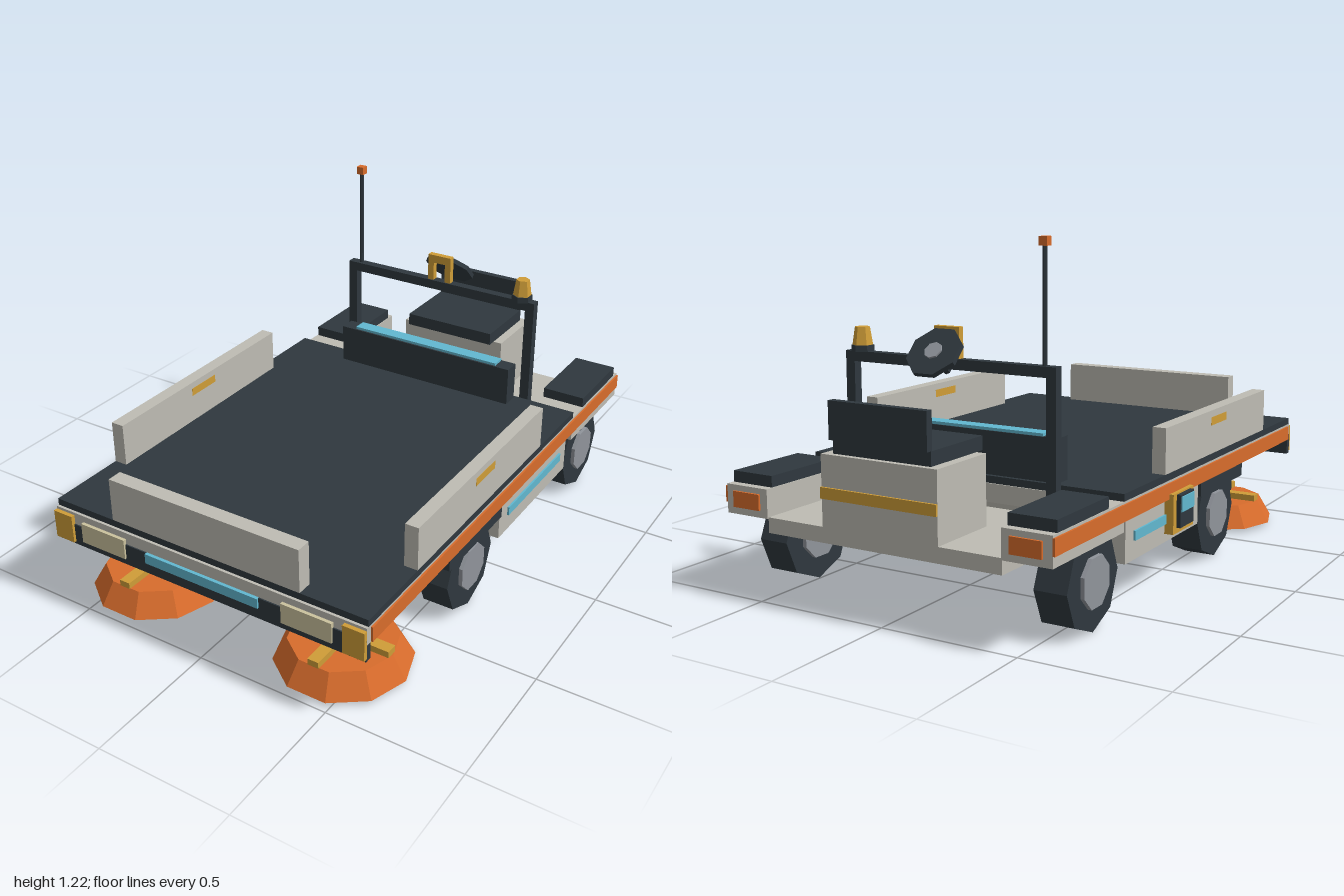
import * as THREE from 'three';

const mat = (name, color) => {
  const m = new THREE.MeshStandardMaterial({ color });
  m.name = name;
  return m;
};

export function createModel() {
  const dark = mat('charcoal', 0x2f383e);
  const beige = mat('warmGrey', 0xbebcb3);
  const orange = mat('orange', 0xd86c2c);
  const yellow = mat('amber', 0xcf9d38);
  const blue = mat('lightBlue', 0x62b8d0);
  const tan = mat('lampCream', 0xcbc29e);
  const steel = mat('hubGrey', 0x90949b);

  const root = new THREE.Group();
  root.name = 'utilitySweeper';
  const CX = 0.015; // centre line of the chassis

  const add = (name, geo, material, parent = root) => {
    const m = new THREE.Mesh(geo, material);
    m.name = name;
    parent.add(m);
    return m;
  };
  // box from its limits on each axis
  const box = (name, material, x0, x1, y0, y1, z0, z1, parent = root) => {
    const m = add(name, new THREE.BoxGeometry(x1 - x0, y1 - y0, z1 - z0), material, parent);
    m.position.set((x0 + x1) / 2, (y0 + y1) / 2, (z0 + z1) / 2);
    return m;
  };
  // pair of boxes mirrored about the chassis centre line
  const pair = (name, material, a, b, ...rest) => {
    box(name + 'Left', material, CX + a, CX + b, ...rest);
    box(name + 'Right', material, CX - b, CX - a, ...rest);
  };
  // faceted cylinder
  const facet = (rTop, rBottom, h, sides) => new THREE.CylinderGeometry(rTop, rBottom, h, sides).toNonIndexed();
  const cyl = (name, material, rTop, rBottom, h, sides, x, y, z, parent = root) => {
    const g = facet(rTop, rBottom, h, sides);
    g.computeVertexNormals();
    const m = add(name, g, material, parent);
    m.position.set(x, y, z);
    return m;
  };

  // chassis and cargo deck
  box('chassisFrame', beige, CX - 0.63, CX + 0.63, 0.32, 0.385, -0.545, 0.985);
  box('cargoDeck', dark, CX - 0.63, CX + 0.63, 0.385, 0.41, -0.54, 0.975);
  pair('sideStripe', orange, 0.629, 0.637, 0.322, 0.377, -0.99, 0.962);

  // underbody with sloping ends
  const profile = new THREE.Shape([[0.44, 0.325], [0.44, 0.26], [0.385, 0.135], [-0.4, 0.135], [-0.47, 0.325]]
    .map(([z, y]) => new THREE.Vector2(-z, y)));
  const hull = add('underbody', new THREE.ExtrudeGeometry(profile, { depth: 0.91, bevelEnabled: false }), beige);
  hull.rotation.y = Math.PI / 2;
  hull.position.x = CX - 0.455;
  pair('sidePanel', beige, 0.44, 0.62, 0.17, 0.32, -0.51, 0.065);
  pair('sideLightStrip', blue, 0.619, 0.627, 0.235, 0.268, -0.45, 0);

  // low rear floor, rear fenders and front wheel covers
  box('rearFloor', beige, CX - 0.455, CX + 0.455, 0.237, 0.29, -0.985, -0.5);
  pair('rearFender', beige, 0.455, 0.63, 0.285, 0.385, -0.99, -0.54);
  pair('fenderPad', dark, 0.459, 0.627, 0.385, 0.424, -0.96, -0.64);
  pair('tailLamp', orange, 0.485, 0.597, 0.31, 0.365, -0.998, -0.989);
  pair('frontWheelCover', dark, 0.46, 0.63, 0.27, 0.325, 0.07, 0.46);

  // bumper and front lights
  box('bumper', dark, CX - 0.63, CX + 0.63, 0.26, 0.34, 0.965, 0.99);
  pair('headlight', tan, 0.32, 0.51, 0.285, 0.36, 0.985, 0.997);
  pair('cornerLamp', yellow, 0.55, 0.63, 0.27, 0.375, 0.985, 1.0);
  box('frontLightStrip', blue, CX - 0.23, CX + 0.23, 0.303, 0.34, 0.985, 0.997);

  // cargo boards
  box('frontBoard', beige, CX - 0.38, CX + 0.38, 0.41, 0.57, 0.92, 0.975);
  pair('sideBoard', beige, 0.58, 0.63, 0.41, 0.57, -0.235, 0.68);
  pair('boardMark', yellow, 0.579, 0.631, 0.515, 0.545, 0.15, 0.29);

  // bulkhead behind the deck
  box('bulkhead', dark, CX - 0.38, CX + 0.38, 0.385, 0.56, -0.525, -0.46);
  box('bulkheadLight', blue, CX - 0.32, CX + 0.32, 0.56, 0.57, -0.52, -0.467);

  // roll bar
  pair('rollBarPost', dark, 0.383, 0.42, 0.285, 0.805, -0.608, -0.573);
  box('rollBarTop', dark, CX - 0.42, CX + 0.42, 0.77, 0.806, -0.608, -0.573);

  // beacon and antenna
  cyl('beaconBase', dark, 0.04, 0.04, 0.022, 6, 0.375, 0.816, -0.59);
  cyl('beaconLamp', yellow, 0.026, 0.036, 0.064, 6, 0.375, 0.858, -0.59);
  cyl('antennaRod', dark, 0.008, 0.008, 0.39, 6, -0.355, 0.995, -0.59);
  box('antennaTip', orange, -0.37, -0.34, 1.185, 1.215, -0.605, -0.575);

  // steering wheel, tilted towards the seat, in an amber bracket
  const steering = new THREE.Group();
  steering.name = 'steering';
  steering.position.set(CX, 0.832, -0.67);
  steering.rotation.x = -0.8;
  root.add(steering);
  cyl('steeringWheel', dark, 0.1, 0.1, 0.018, 8, 0, 0, 0, steering).rotation.y = Math.PI / 8;
  cyl('steeringHub', steel, 0.032, 0.032, 0.008, 8, 0, 0.012, 0, steering);
  cyl('steeringColumn', dark, 0.014, 0.014, 0.1, 6, 0, -0.05, 0, steering);
  pair('bracketLeg', yellow, 0.025, 0.05, 0.805, 0.88, -0.603, -0.578);
  box('bracketTop', yellow, CX - 0.05, CX + 0.05, 0.88, 0.912, -0.603, -0.578);

  // driver seat
  box('seatBase', beige, CX - 0.225, CX + 0.225, 0.28, 0.53, -0.985, -0.715);
  box('seatBaseStripe', yellow, CX - 0.225, CX + 0.225, 0.385, 0.423, -0.993, -0.984);
  box('seatCushion', dark, CX - 0.19, CX + 0.19, 0.53, 0.578, -0.965, -0.68);
  box('seatBack', dark, CX - 0.19, CX + 0.19, 0.578, 0.705, -0.985, -0.958);

  // control box on the right side
  box('controlBox', yellow, -0.638, -0.6, 0.2, 0.34, -0.215, -0.05);
  box('controlPanel', dark, -0.653, -0.637, 0.22, 0.335, -0.19, -0.08);
  box('controlScreen', blue, -0.657, -0.652, 0.275, 0.328, -0.185, -0.085);

  for (const side of [-1, 1]) {
    // octagonal wheels with hubs showing on both faces
    for (const [end, z] of [['front', 0.26], ['rear', -0.7]]) {
      const wheel = new THREE.Group();
      wheel.name = end + 'Wheel' + (side > 0 ? 'Left' : 'Right');
      wheel.position.set(CX + side * 0.548, 0.165, z);
      wheel.rotation.z = Math.PI / 2;
      root.add(wheel);
      cyl('tyre', dark, 0.165, 0.165, 0.116, 8, 0, 0, 0, wheel);
      cyl('hub', steel, 0.088, 0.088, 0.145, 8, 0, 0, 0, wheel).rotation.y = Math.PI / 8;
    }
    // rotary sweeping brush with cross arms and post
    const brush = new THREE.Group();
    brush.name = 'brush' + (side > 0 ? 'Left' : 'Right');
    brush.position.set(CX + side * 0.396, 0, 0.75);
    root.add(brush);
    cyl('bristles', orange, 0.19, 0.24, 0.085, 10, 0, 0.0575, 0, brush).rotation.y = Math.PI / 2;
    cyl('brushHub', dark, 0.072, 0.072, 0.075, 8, 0, 0.137, 0, brush).rotation.y = Math.PI / 8;
    box('brushPost', dark, -0.037, 0.037, 0.17, 0.325, -0.037, 0.037, brush);
    box('crossArm', yellow, -0.185, 0.185, 0.1, 0.124, -0.021, 0.021, brush);
    box('crossArm', yellow, -0.021, 0.021, 0.1, 0.1235, -0.185, 0.185, brush);
  }
  return root;
}
